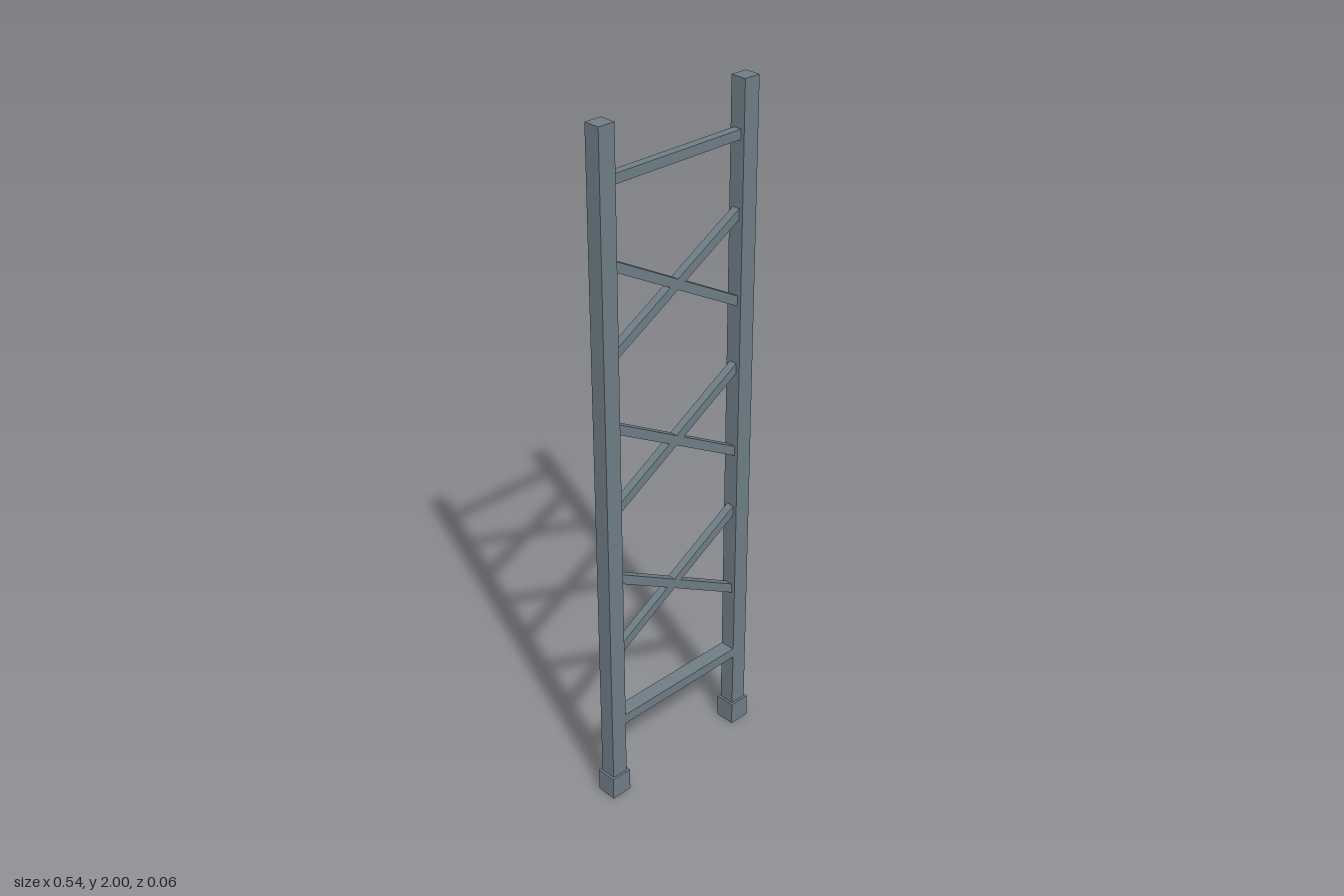
import * as THREE from 'three';

export function createModel() {
  const group = new THREE.Group();
  const steel = new THREE.MeshStandardMaterial({ color: 0x6f7d86 });
  steel.name = 'slate grey steel';

  const POST_X = 0.24;

  function add(name, geometry, x, y, z = 0) {
    const mesh = new THREE.Mesh(geometry, steel);
    mesh.name = name;
    mesh.position.set(x, y, z);
    group.add(mesh);
    return mesh;
  }

  // Straight bar between the inner faces of the posts, sunk slightly into them
  function bar(name, yRight, yLeft, height, depth) {
    const reach = 0.225;
    const length = Math.hypot(2 * reach, yLeft - yRight);
    const mesh = add(name, new THREE.BoxGeometry(length, height, depth), 0, (yRight + yLeft) / 2);
    mesh.rotation.z = Math.atan2(yLeft - yRight, 2 * reach);
  }

  // Square sleeve around the foot of each post
  const ring = new THREE.Shape([
    [-0.032, -0.03], [0.032, -0.03], [0.032, 0.03], [-0.032, 0.03],
  ].map(([x, y]) => new THREE.Vector2(x, y)));
  ring.holes.push(new THREE.Path([
    [-0.023, -0.022], [-0.023, 0.022], [0.023, 0.022], [0.023, -0.022],
  ].map(([x, y]) => new THREE.Vector2(x, y))));
  const sleeve = new THREE.ExtrudeGeometry(ring, { depth: 0.07, bevelEnabled: false });
  sleeve.rotateX(-Math.PI / 2);

  // Posts and feet
  for (const [side, s] of [['right', -1], ['left', 1]]) {
    add(side + 'Post', new THREE.BoxGeometry(0.05, 1.99, 0.047), s * POST_X, 1.005);
    add(side + 'Foot', sleeve, s * POST_X, 0);
  }

  // Top rung and the wider bottom rung
  bar('topRung', 1.855, 1.855, 0.027, 0.024);
  bar('bottomRung', 0.253, 0.256, 0.03, 0.045);

  // Crossed braces: [falling start, falling end, rising start, rising end]
  const crosses = [
    [0.73, 0.478, 0.485, 0.755],
    [1.19, 0.938, 0.935, 1.205],
    [1.64, 1.393, 1.387, 1.648],
  ];
  crosses.forEach(([fallA, fallB, riseA, riseB], i) => {
    bar('fallingBrace' + (i + 1), fallA, fallB, 0.026, 0.024);
    bar('risingBrace' + (i + 1), riseA, riseB, 0.026, 0.0235);
  });

  return group;
}
